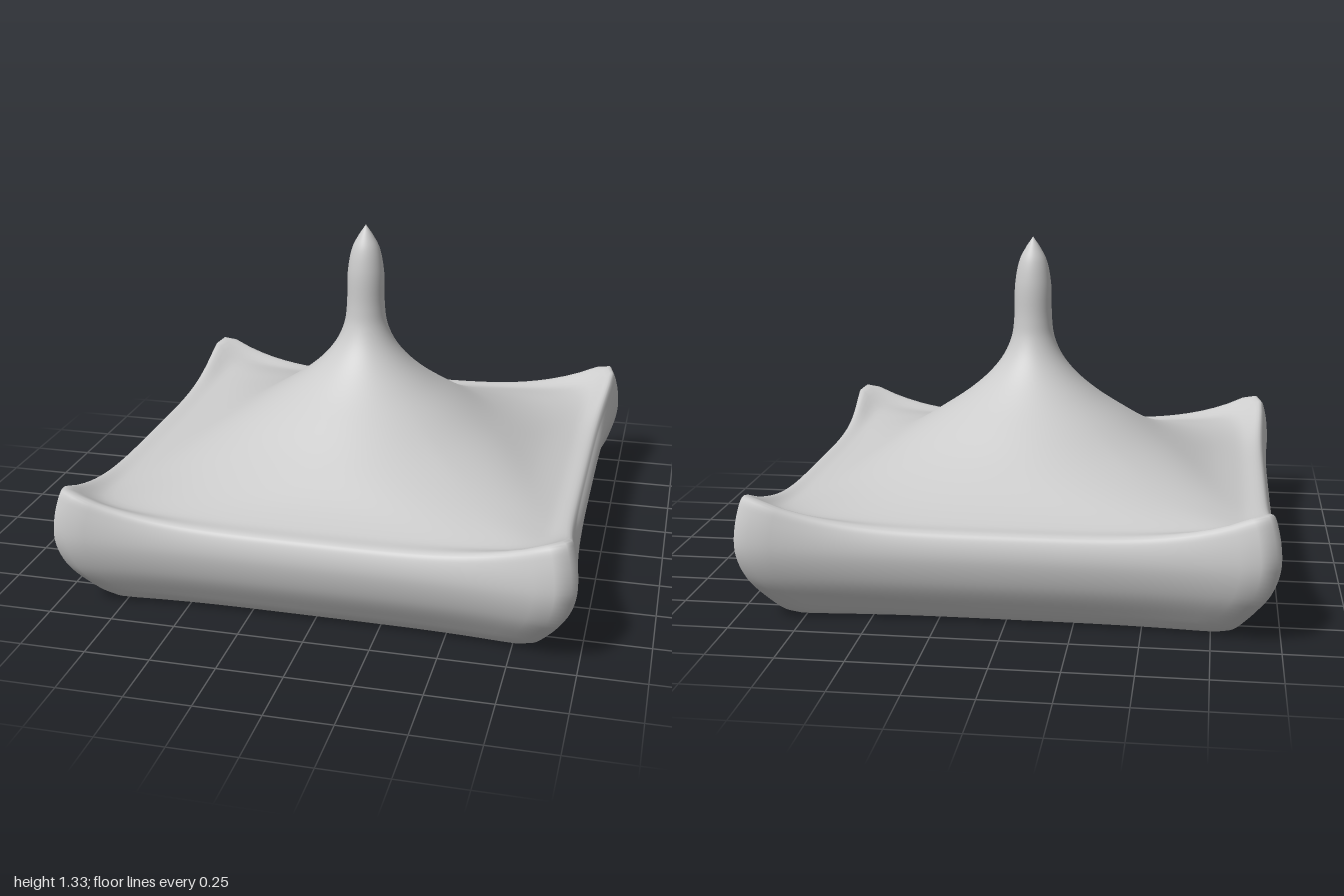
import * as THREE from 'three';

// Profile from the tip down to the centre of the underside:
// half width, height, extra height at the corners
const PROFILE = [
  [0, 1.33, 0], [0.03, 1.285, 0], [0.055, 1.235, 0], [0.073, 1.14, 0], [0.077, 1.0, 0],
  [0.087, 0.925, 0], [0.118, 0.85, 0], [0.175, 0.775, 0], [0.265, 0.695, 0], [0.4, 0.603, 0],
  [0.55, 0.508, 0], [0.72, 0.415, 0], [0.84, 0.376, 0.03], [0.922, 0.367, 0.12],
  [0.94, 0.34, 0.09], [0.95, 0.27, 0.03], [0.925, 0.17, 0.01], [0.87, 0.075, 0],
  [0.825, 0.015, 0], [0.8, 0.002, 0], [0.6, 0, 0], [0.3, 0, 0], [0, 0, 0],
];
const SIDES = 160;
const RINGS = 130;
const RIM = 13 / (PROFILE.length - 1);
const { clamp, lerp } = THREE.MathUtils;

function createShell() {
  const curve = new THREE.CatmullRomCurve3(
    PROFILE.map((p) => new THREE.Vector3(...p)), false, 'centripetal');
  const positions = [];
  const indices = [];

  for (let i = 0; i <= RINGS; i++) {
    const t = i / RINGS;
    const { x: half, y: height, z: lift } = curve.getPoint(t);
    const size = Math.max(half, 0);
    // Rings go from round at the spire to a rounded square below the rim
    const power = t < RIM ? 2 + 20 * (size / 0.922) ** 8 : 22;
    const outer = (size / 0.95) ** 4;

    for (let j = 0; j < SIDES; j++) {
      const angle = (j / SIDES) * Math.PI * 2;
      const c = Math.cos(angle), s = Math.sin(angle);
      const ac = Math.abs(c), as = Math.abs(s);
      // Weight that rises towards the four corners and levels off on them
      const corner = Math.min(Math.min(ac, as) / Math.max(ac, as) / 0.95, 1) ** 4;
      const r = size * (ac ** power + as ** power) ** (-1 / power) * (1 + 0.07 * corner * outer);
      // The four sides bow by slightly different amounts
      const bow = c < 0 ? lerp(0.025, -0.015, corner) : lerp(-0.01, -0.02, corner);
      let x = r * c * (1 + bow * outer);
      const z = r * s * (1 + (s > 0 ? 0.012 * x : 0) * outer);

      // Raised arch under the left side, sloping down across the underside
      let y = height + lift * corner;
      if (t > RIM) {
        const arch = clamp(0.43 * (0.82 - Math.abs(z)), 0, 0.155);
        const slope = clamp((x + 0.8) / 1.6, 0, 1);
        const rise = arch * slope * Math.max(0, 1 - height / 0.35);
        y += rise;
        x += 0.2 * rise * slope;
      }
      positions.push(x, Math.max(y, 0), z);
    }
  }

  for (let i = 0; i < RINGS; i++) {
    for (let j = 0; j < SIDES; j++) {
      const k = (j + 1) % SIDES;
      const a = i * SIDES + j, b = a + SIDES;
      const d = i * SIDES + k, e = d + SIDES;
      if (i > 0) indices.push(a, d, b);
      if (i < RINGS - 1) indices.push(d, e, b);
    }
  }

  const geometry = new THREE.BufferGeometry();
  geometry.setAttribute('position', new THREE.Float32BufferAttribute(positions, 3));
  geometry.setIndex(indices);
  geometry.computeVertexNormals();
  return geometry;
}

export function createModel() {
  const group = new THREE.Group();
  group.name = 'spiredRoof';
  const shell = new THREE.Mesh(createShell(), new THREE.MeshStandardMaterial({ color: 0xcccccc }));
  shell.name = 'roofShell';
  group.add(shell);
  return group;
}
